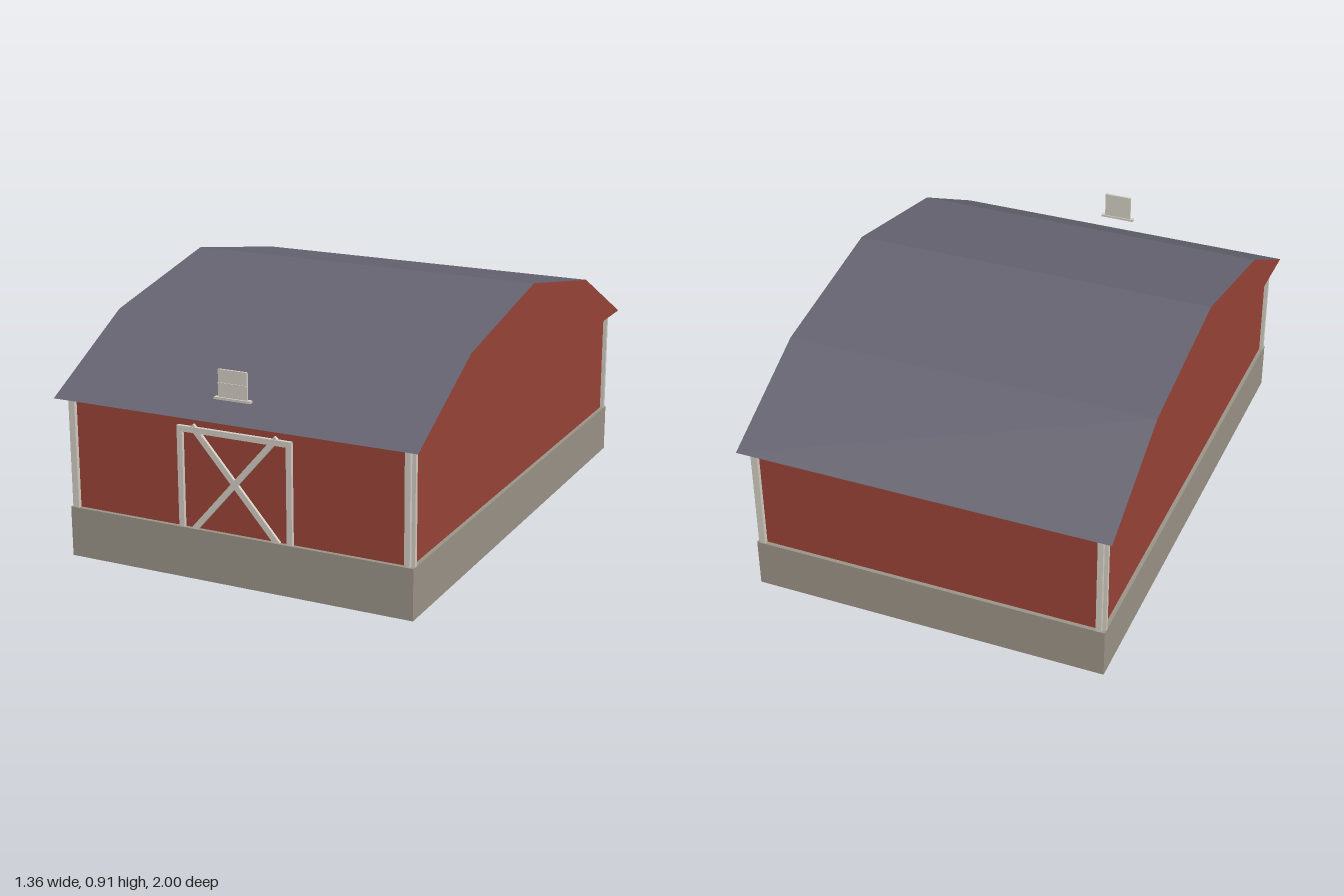
import * as THREE from 'three';

const material = (name, color) => {
  const m = new THREE.MeshStandardMaterial({ color });
  m.name = name;
  return m;
};

export function createModel() {
  const barn = new THREE.Group();
  barn.name = 'barn';
  const red = material('barn red', 0x9a4437);
  const slate = material('slate roof', 0x646370);
  const stone = material('stone', 0x9c9488);
  const trim = material('trim', 0xd3cec3);

  const box = (name, mat, [w, h, d], [x, y, z], parent = barn) => {
    const mesh = new THREE.Mesh(new THREE.BoxGeometry(w, h, d), mat);
    mesh.name = name;
    mesh.position.set(x, y, z);
    parent.add(mesh);
    return mesh;
  };

  // Foundation and walls
  box('foundation', stone, [1.31, 0.182, 1.934], [0, 0.091, 0]);
  box('walls', red, [1.28, 0.404, 1.904], [0, 0.382, 0]);

  // Gambrel roof: red gable ends, slate slopes
  const profile = [[-1, 0.583], [1, 0.583], [0.575, 0.802], [0, 0.913], [-0.575, 0.802]];
  const shape = new THREE.Shape(profile.map(([z, y]) => new THREE.Vector2(z, y)));
  const roofGeometry = new THREE.ExtrudeGeometry(shape, { depth: 1.364, bevelEnabled: false });
  roofGeometry.translate(0, 0, -0.682).rotateY(Math.PI / 2);
  const roof = new THREE.Mesh(roofGeometry, [red, slate]);
  roof.name = 'roof';
  barn.add(roof);

  // Corner boards, one on each face of every corner
  for (const sx of [-1, 1]) {
    for (const sz of [-1, 1]) {
      box('cornerBoardEnd', trim, [0.02, 0.401, 0.015], [sx * 0.632, 0.382, sz * 0.9595]);
      box('cornerBoardSide', trim, [0.015, 0.401, 0.014], [sx * 0.6475, 0.382, sz * 0.947]);
    }
  }

  // Barn door frame with crossed braces
  const door = new THREE.Group();
  door.name = 'door';
  barn.add(door);
  for (const s of [-1, 1]) {
    box('doorPost', trim, [0.02, 0.362, 0.014], [s * 0.206, 0.362, 0.958], door);
    const brace = box('doorBrace', trim, [0.49, 0.021, 0.012], [0, 0.362, 0.957], door);
    brace.rotation.z = s * 0.855;
  }
  box('doorHeader', trim, [0.432, 0.02, 0.0145], [0, 0.533, 0.958], door);

  // Loft hatch with middle rail and sill
  const hatch = new THREE.Group();
  hatch.name = 'loftHatch';
  barn.add(hatch);
  box('hatchPanel', trim, [0.108, 0.098, 0.008], [0, 0.708, 0.957], hatch);
  box('hatchRail', trim, [0.108, 0.006, 0.004], [0, 0.709, 0.962], hatch);
  box('hatchSill', trim, [0.136, 0.008, 0.018], [0, 0.658, 0.958], hatch);

  return barn;
}
